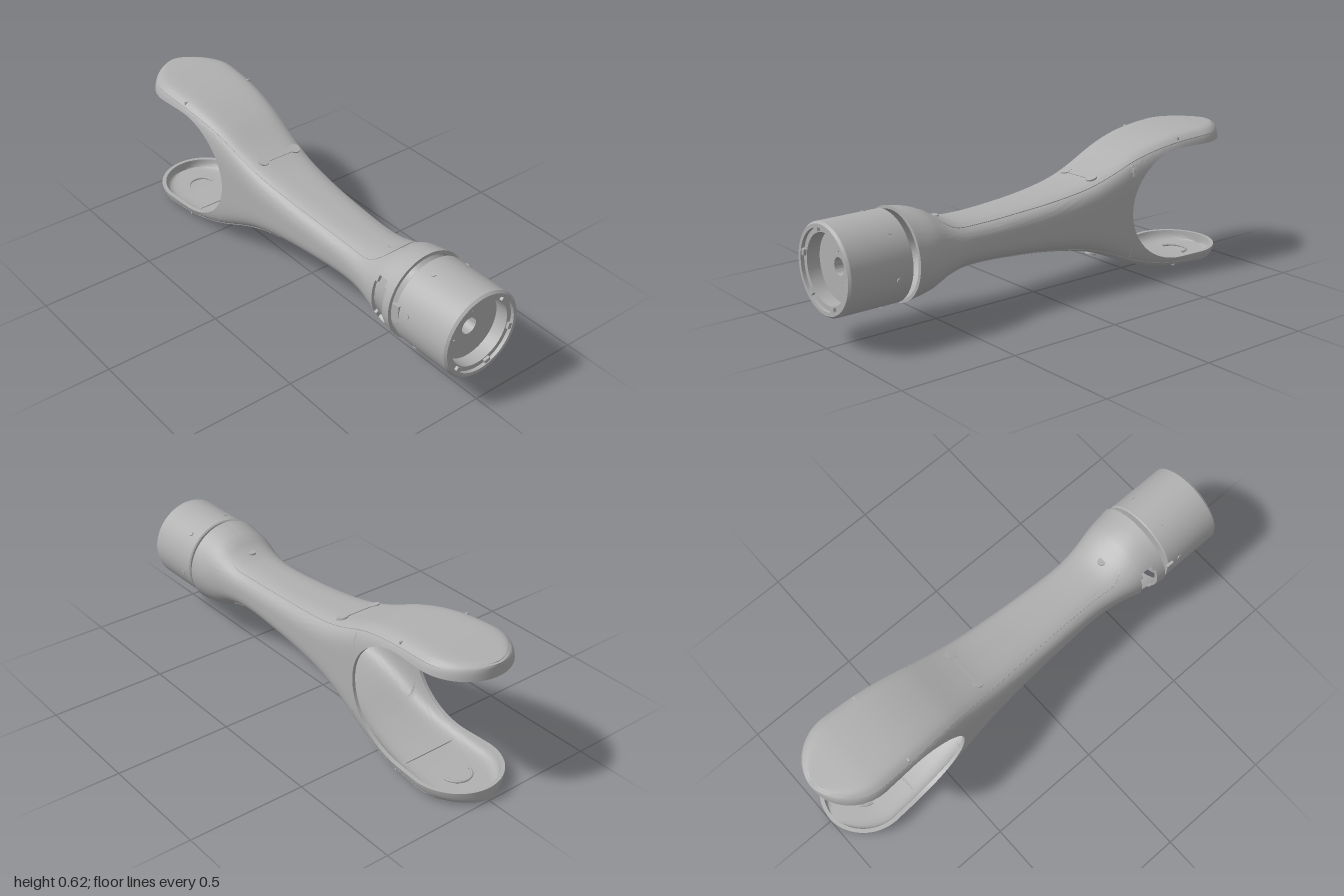
import * as THREE from 'three';
import { toCreasedNormals } from 'three/addons/utils/BufferGeometryUtils.js';

const MID = 0.307; // height of the handle axis

// Smooth function of x through a few [x, value] points
function curve(points) {
  const f = new THREE.CubicInterpolant(points.map(p => p[0]), points.map(p => p[1]), 1, new Float32Array(1));
  return x => f.evaluate(x)[0];
}
const halfHeight = curve([[-1, 0.301], [-0.8, 0.304], [-0.6, 0.285], [-0.45, 0.246], [-0.3, 0.184],
  [-0.2, 0.15], [0, 0.114], [0.2, 0.097], [0.35, 0.093], [0.45, 0.1], [0.52, 0.124], [0.58, 0.16], [0.63, 0.177], [0.695, 0.19]]);
const widthCurve = curve([[-0.8, 0.198], [-0.6, 0.19], [-0.4, 0.173], [-0.2, 0.158], [0, 0.146],
  [0.2, 0.137], [0.38, 0.135], [0.48, 0.148], [0.6, 0.176], [0.695, 0.19]]);
const squareness = curve([[-1, 8], [-0.8, 8], [-0.45, 6], [-0.2, 4], [0.2, 3], [0.5, 2.4], [0.65, 2], [0.695, 2]]);

// Rounded fork tip in plan
const halfWidth = x => x < -0.8
  ? 0.198 * Math.sqrt(Math.max(0, 1 - ((x + 0.8) / 0.2) ** 2))
  : widthCurve(x);
// Half height of the U-shaped opening
const opening = x => x < -0.68 ? 0.246
  : x >= -0.4 ? 0 : 0.246 * Math.sqrt(Math.max(0, 1 - ((x + 0.68) / 0.28) ** 2));

// Point on the rounded-square section in direction t
function section(x, t, h, w) {
  const n = squareness(x), c = Math.cos(t), s = Math.sin(t);
  const r = (Math.abs(c) ** n + Math.abs(s) ** n) ** (-1 / n);
  return new THREE.Vector3(x, s * r * h, c * r * w);
}

// Thick sheet between two point grids; cells can be left out as holes
function sheet(rows, cols, outer, inner, keep = () => true) {
  const pos = [];
  const grid = f => Array.from({ length: rows + 1 }, (_, i) => Array.from({ length: cols + 1 }, (_, j) => f(i, j)));
  const O = grid(outer), I = grid(inner);
  const quad = (a, b, c, d) => [a, b, c, a, c, d].forEach(p => pos.push(p.x, p.y, p.z));
  const solid = (i, j) => i >= 0 && j >= 0 && i < rows && j < cols && keep(i, j);
  for (let i = 0; i < rows; i++) for (let j = 0; j < cols; j++) {
    if (!solid(i, j)) continue;
    const k = [[i, j], [i + 1, j], [i + 1, j + 1], [i, j + 1]];
    quad(...k.map(([a, b]) => O[a][b]));
    quad(...k.slice().reverse().map(([a, b]) => I[a][b]));
    const next = [[i, j - 1], [i + 1, j], [i, j + 1], [i - 1, j]];
    next.forEach((cell, e) => {
      if (solid(...cell)) return;
      const [a, b] = k[e], [c, d] = k[(e + 1) % 4];
      quad(I[a][b], I[c][d], O[c][d], O[a][b]);
    });
  }
  const g = new THREE.BufferGeometry();
  g.setAttribute('position', new THREE.Float32BufferAttribute(pos, 3));
  return toCreasedNormals(g, 0.55);
}

// Stations along x, closer together at the tip and at the throat
function stations() {
  const xs = [];
  const add = (n, f) => { for (let i = 0; i < n; i++) xs.push(f(i / n)); };
  add(16, k => -0.8 - 0.2 * Math.cos(k * Math.PI / 2));
  add(3, k => -0.8 + 0.12 * k);
  add(18, k => -0.68 + 0.28 * Math.sin(k * Math.PI / 2));
  add(32, k => -0.4 + 0.98 * k);
  add(6, k => 0.58 + 0.075 * k);
  add(3, k => 0.655 + 0.04 * k);
  xs.push(0.695);
  return xs;
}

// Upper half of the hollow body: one fork arm and half the handle
function halfShell() {
  const xs = stations(), cols = 60;
  const layer = (shrinkH, scaleW) => (i, j) => {
    const x = xs[i], h = halfHeight(x) - shrinkH, w = halfWidth(x) * scaleW, n = squareness(x);
    const k = Math.min(opening(x) / h, 0.97);
    const t0 = Math.atan2(k, (1 - k ** n) ** (1 / n));
    const p = section(x, t0 + (Math.PI - 2 * t0) * j / cols, h, w);
    if (x < -0.8) p.x = -0.8 + (x + 0.8) * scaleW;
    return p;
  };
  // Window in the front wall, near the end of the handle
  const inWindow = (i, j) => {
    const x = (xs[i] + xs[i + 1]) / 2;
    const d = Math.abs(x - 0.6175) / 0.0376;
    return d < 1 && j < (d > 0.75 ? 9 : 12);
  };
  return sheet(xs.length - 1, cols, layer(0, 1), layer(0.014, 0.92), (i, j) => !inWindow(i, j));
}

// Thin grip panel that follows the outer face of the body
function gripPanel() {
  const xs = stations().filter(x => x < 0.45);
  for (let i = 0; i <= 12; i++) xs.push(0.45 + 0.11 * Math.sin(i / 12 * Math.PI / 2));
  const layer = lift => (i, j) => {
    const x = xs[i], h = halfHeight(x), w = halfWidth(x), n = squareness(x);
    let p = THREE.MathUtils.lerp(0.92, 0.72, THREE.MathUtils.smoothstep(x, -0.8, 0.2));
    if (x > 0.45) p *= Math.sqrt(Math.max(0, 1 - ((x - 0.45) / 0.11) ** 2));
    const z = p * (1 - 2 * j / 24);
    const y = h * (1 - Math.abs(z) ** n) ** (1 / n) + lift;
    return new THREE.Vector3(x < -0.8 ? -0.8 + (x + 0.8) * 0.95 : x, y, z * w);
  };
  return sheet(xs.length - 1, 24, layer(0.003), layer(-0.003));
}

export function createModel() {
  const model = new THREE.Group();
  const grey = new THREE.MeshStandardMaterial({ color: 0xb0b0b0, side: THREE.DoubleSide });
  grey.name = 'grey';
  const add = (parent, name, geometry, x = 0, y = 0, z = 0) => {
    const m = new THREE.Mesh(geometry, grey);
    m.name = name;
    m.position.set(x, y, z);
    parent.add(m);
    return m;
  };

  const shell = halfShell(), panel = gripPanel();
  for (const side of [1, -1]) {
    const half = new THREE.Group();
    half.name = side > 0 ? 'upperHalf' : 'lowerHalf';
    half.position.y = MID;
    half.scale.y = side;
    model.add(half);
    add(half, 'bodyShell', shell);
    add(half, 'gripPanel', panel);

    // Cross slot with round ends, and a small stud near the panel end
    const mark = new THREE.Group();
    mark.name = 'crossSlot';
    mark.position.set(-0.235, halfHeight(-0.235) + 0.003, -0.01);
    mark.rotation.z = Math.atan((halfHeight(-0.215) - halfHeight(-0.255)) / 0.04);
    half.add(mark);
    add(mark, 'slotBar', new THREE.BoxGeometry(0.022, 0.006, 0.16));
    for (const z of [-0.08, 0.08]) add(mark, 'slotEnd', new THREE.CylinderGeometry(0.024, 0.024, 0.008, 16), 0, 0, z);
    add(half, 'panelStud', new THREE.CylinderGeometry(0.018, 0.018, 0.008, 8), 0.5, halfHeight(0.5) + 0.002, 0);

    // Low ribs inside the arm tray
    const floor = halfHeight(-0.75) - 0.016;
    add(half, 'trayRib', new THREE.BoxGeometry(0.008, 0.012, 0.34), -0.66, floor - 0.004, 0);
    const arc = add(half, 'trayArc', new THREE.TorusGeometry(0.06, 0.005, 6, 20, Math.PI), -0.82, floor - 0.002, 0);
    arc.rotation.set(Math.PI / 2, 0, Math.PI / 2);
  }

  // End cap: a cup with a stepped recess and a centre hole
  const cap = new THREE.Group();
  cap.name = 'endCap';
  cap.position.y = MID;
  model.add(cap);
  const profile = [[0.035, 0.72], [0.178, 0.72], [0.183, 0.725], [0.183, 0.99], [0.175, 1], [0.16, 1],
    [0.16, 0.985], [0.14, 0.985], [0.14, 0.93], [0.035, 0.93], [0.035, 0.72]].map(p => new THREE.Vector2(...p));
  const cup = toCreasedNormals(new THREE.LatheGeometry(profile, 56).toNonIndexed(), 0.5);
  cup.rotateZ(-Math.PI / 2);
  add(cap, 'capCup', cup);

  // Rim lugs and side pins around the cap
  for (let i = 0; i < 6; i++) {
    const spoke = new THREE.Group();
    spoke.name = 'capSpoke';
    spoke.rotation.x = i * Math.PI / 3 + 0.3;
    cap.add(spoke);
    add(spoke, 'rimLug', new THREE.BoxGeometry(0.012, 0.018, 0.026), 0.991, 0.153, 0);
    add(spoke, 'sidePin', new THREE.CylinderGeometry(0.011, 0.011, 0.008, 10), 0.785, 0.182, 0);
  }
  // Latch on the front edge of the cap
  add(cap, 'latch', new THREE.BoxGeometry(0.035, 0.08, 0.012), 0.727, 0.02, 0.178);
  return model;
}
